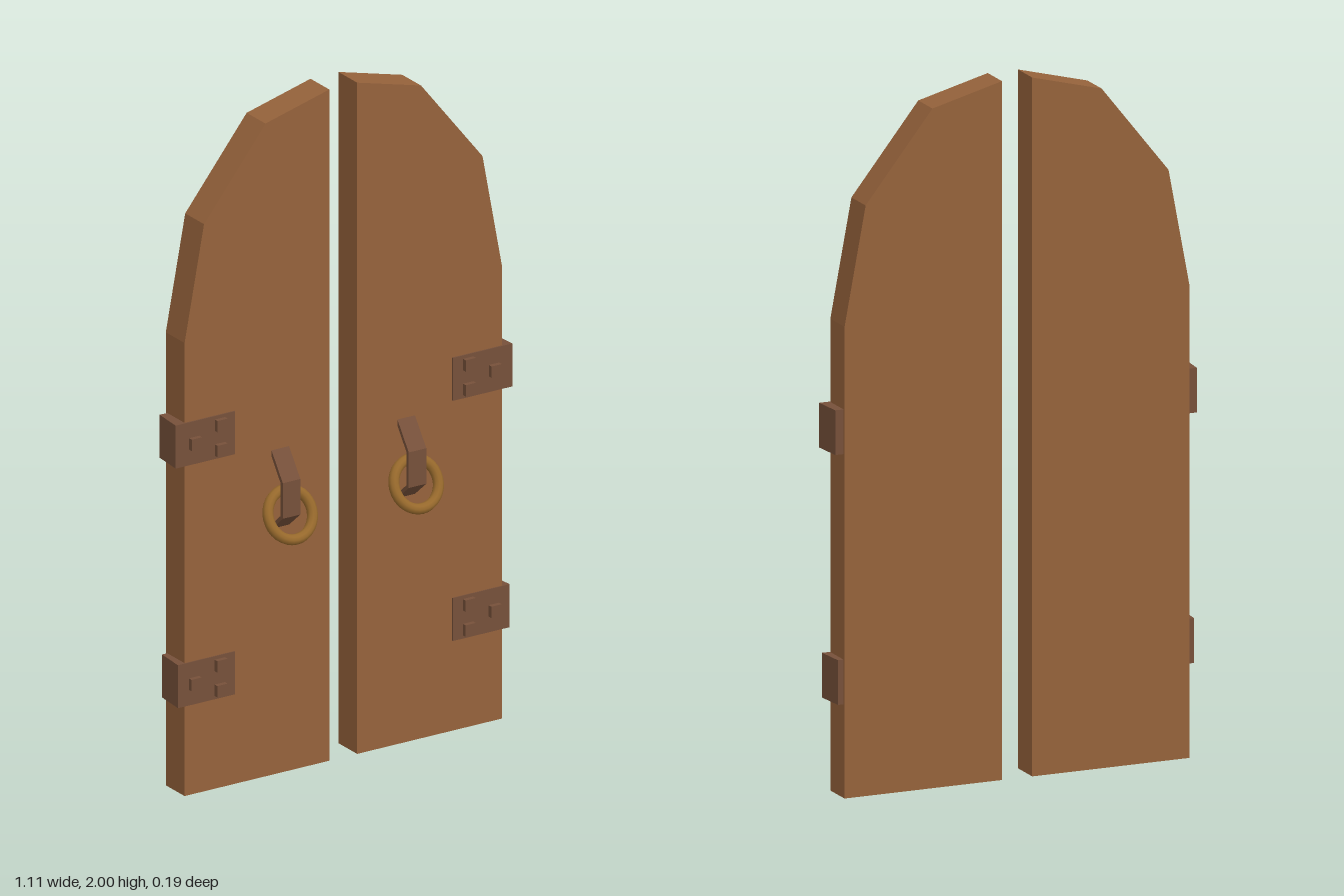
import * as THREE from 'three';

const mat = (color) => new THREE.MeshStandardMaterial({ color, flatShading: true });
const wood = mat(0x95623b);
const iron = mat(0x76503a);
const brass = new THREE.MeshStandardMaterial({ color: 0x97692c });

// Straight extrusion of a polygon given as [x, y] points
function prism(points, depth) {
  const shape = new THREE.Shape(points.map(([x, y]) => new THREE.Vector2(x, y)));
  return new THREE.ExtrudeGeometry(shape, { depth, bevelEnabled: false });
}

function add(parent, name, geometry, material, x = 0, y = 0, z = 0) {
  const mesh = new THREE.Mesh(geometry, material);
  mesh.name = name;
  mesh.position.set(x, y, z);
  parent.add(mesh);
  return mesh;
}

// Hinge: thin front plate wrapping round the door edge, held by three square nails
function makeHinge(side, y, outer, front) {
  const hinge = new THREE.Group();
  hinge.name = 'hinge';
  const profile = [
    [0.36, -front], [outer, -front], [outer - 0.007, 0.088],
    [0.523, 0.088], [0.523, 0.01], [0.36, 0.01],
  ].map(([x, z]) => [side * x, z]);
  const height = 0.128;
  const plate = prism(profile, height).rotateX(-Math.PI / 2);
  add(hinge, 'hingePlate', plate, iron, 0, y - height / 2, 0);
  for (const [x, dy] of [[0.41, 0.037], [0.41, -0.037], [0.495, 0]]) {
    add(hinge, 'nail', new THREE.BoxGeometry(0.034, 0.034, 0.02), iron, side * x, y + dy, front + 0.004);
  }
  return hinge;
}

// Knocker: bent strap fixed to the door with a tilted ring hanging through it
function makeKnocker(side) {
  const knocker = new THREE.Group();
  knocker.name = 'knocker';
  const bend = [
    [0, 0.967], [0.057, 0.888], [0.057, 0.782], [0, 0.733],
    [0, 0.747], [0.046, 0.787], [0.046, 0.884], [0, 0.949],
  ];
  const strap = prism(bend, 0.058).translate(0, 0, -0.029).rotateY(-Math.PI / 2);
  add(knocker, 'strap', strap, iron, side * 0.208);
  const ring = add(knocker, 'ring', new THREE.TorusGeometry(0.071, 0.0155, 10, 32), brass,
    side * 0.208, 0.787, 0.05);
  ring.rotation.x = -0.44;
  return knocker;
}

// One door leaf with its faceted half arch, hinges and knocker
function makeLeaf(side) {
  const leaf = new THREE.Group();
  leaf.name = side > 0 ? 'leftLeaf' : 'rightLeaf';
  const outline = [
    [0.046, 0], [0.524, 0], [0.524, 1.35], [0.46, 1.69], [0.257, 1.945], [0.046, 2],
  ].map(([x, y]) => [side * x, y]);
  add(leaf, 'panel', prism(outline, 0.095), wood, 0, 0, -0.095);
  leaf.add(makeHinge(side, 1.048, 0.556, 0.004));
  leaf.add(makeHinge(side, 0.332, 0.548, 0.003));
  leaf.add(makeKnocker(side));
  return leaf;
}

export function createModel() {
  const model = new THREE.Group();
  model.name = 'doubleDoor';
  for (const side of [1, -1]) model.add(makeLeaf(side));
  return model;
}
